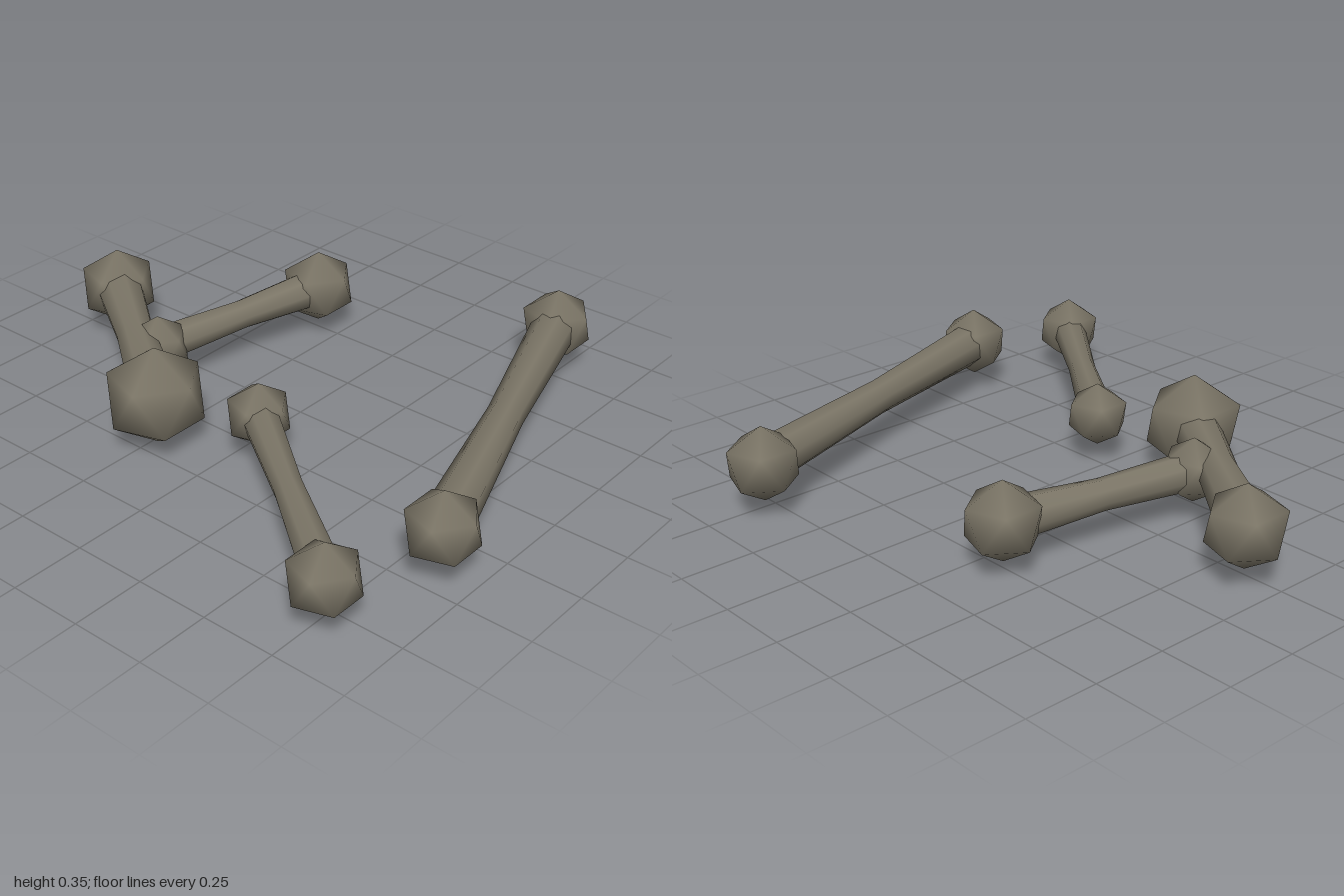
import * as THREE from 'three';

const UP = new THREE.Vector3(0, 1, 0);

// Twenty-sided knob with a vertex straight up and smooth normals
function knobGeometry(radius) {
  const geo = new THREE.IcosahedronGeometry(radius, 0);
  geo.rotateZ(-Math.atan(2 / (1 + Math.sqrt(5))));
  const pos = geo.attributes.position;
  const v = new THREE.Vector3();
  for (let i = 0; i < pos.count; i++) {
    v.fromBufferAttribute(pos, i).normalize();
    geo.attributes.normal.setXYZ(i, v.x, v.y, v.z);
  }
  return geo;
}

// One bone: a waisted shaft between two knobs.
// Each end is [x, y, z, knob radius, shaft radius].
function makeBone(name, a, b, waist, material) {
  const bone = new THREE.Group();
  bone.name = name;

  for (const [i, end] of [a, b].entries()) {
    const knob = new THREE.Mesh(knobGeometry(end[3]), material);
    knob.name = i === 0 ? 'backKnob' : 'frontKnob';
    knob.position.set(end[0], end[1], end[2]);
    bone.add(knob);
  }

  const from = new THREE.Vector3(a[0], a[1], a[2]);
  const dir = new THREE.Vector3(b[0], b[1], b[2]).sub(from);
  const length = dir.length();
  const profile = [
    new THREE.Vector2(a[4], 0.02),
    new THREE.Vector2(waist, length / 2),
    new THREE.Vector2(b[4], length - 0.02),
  ];
  const shaft = new THREE.Mesh(new THREE.LatheGeometry(profile, 8), material);
  shaft.name = 'shaft';
  shaft.position.copy(from);
  shaft.quaternion.setFromUnitVectors(UP, dir.normalize());
  bone.add(shaft);
  return bone;
}

export function createModel() {
  const material = new THREE.MeshStandardMaterial({ color: 0x7d7768 });
  material.name = 'old bone';

  const model = new THREE.Group();
  model.name = 'scatteredBones';
  model.add(
    makeBone('thickBone', [-0.875, 0.175, -0.025, 0.139, 0.083], [-0.235, 0.173, 0.435, 0.173, 0.083], 0.066, material),
    makeBone('leaningBone', [-0.345, 0.16, -0.505, 0.134, 0.07], [-0.475, 0.16, 0.18, 0.11, 0.064], 0.052, material),
    makeBone('thinBone', [0.07, 0.155, 0.285, 0.111, 0.062], [0.77, 0.155, 0.805, 0.12, 0.062], 0.048, material),
    makeBone('longBone', [0.47, 0.167, -0.805, 0.129, 0.078], [0.885, 0.167, 0.42, 0.126, 0.078], 0.06, material),
  );
  return model;
}
